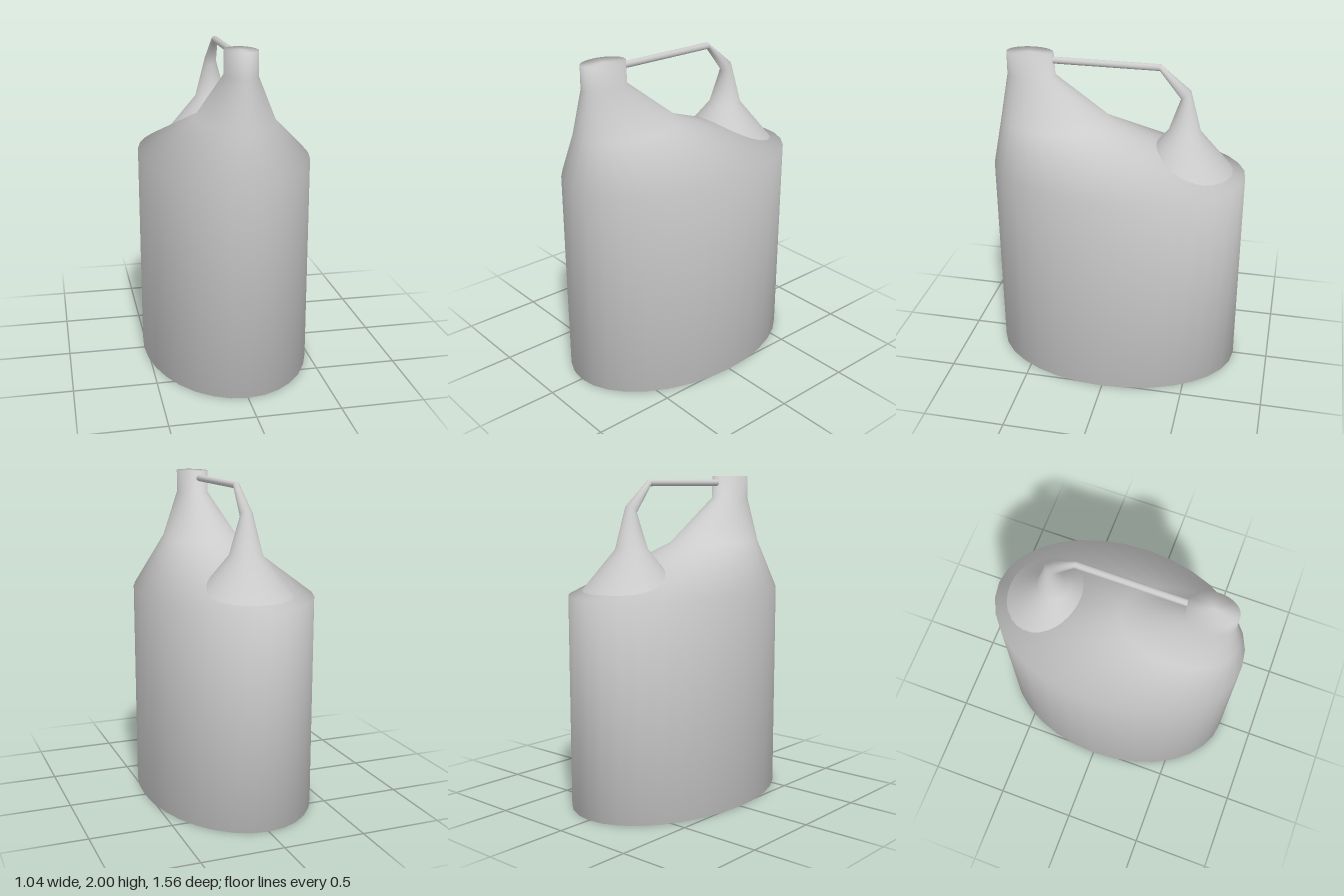
import * as THREE from 'three';

const SEGMENTS = 32;

// Smooth loft through elliptical rings, listed from bottom to top.
// ring = { y, z: centre, rx: half width, rz, dy: half vector towards the front }
function loft(rings, capped) {
  const positions = [];
  const index = [];
  for (const { y, z, rx, rz, dy = 0 } of rings) {
    for (let j = 0; j < SEGMENTS; j++) {
      const a = (j / SEGMENTS) * Math.PI * 2;
      positions.push(rx * Math.cos(a), y + dy * Math.sin(a), z + rz * Math.sin(a));
    }
  }
  for (let i = 0; i < rings.length - 1; i++) {
    for (let j = 0; j < SEGMENTS; j++) {
      const k = (j + 1) % SEGMENTS;
      const a = i * SEGMENTS + j, b = i * SEGMENTS + k;
      const c = a + SEGMENTS, d = b + SEGMENTS;
      index.push(a, c, b, b, c, d);
    }
  }
  if (capped) {
    const top = (rings.length - 1) * SEGMENTS;
    const centre = positions.length / 3;
    const last = rings[rings.length - 1];
    positions.push(0, rings[0].y, rings[0].z, 0, last.y, last.z);
    for (let j = 0; j < SEGMENTS; j++) {
      const k = (j + 1) % SEGMENTS;
      index.push(centre, j, k, centre + 1, top + k, top + j);
    }
  }
  const geometry = new THREE.BufferGeometry();
  geometry.setAttribute('position', new THREE.Float32BufferAttribute(positions, 3));
  geometry.setIndex(index);
  geometry.computeVertexNormals();
  return geometry;
}

export function createModel() {
  const group = new THREE.Group();
  group.name = 'jug';
  const material = new THREE.MeshStandardMaterial({ color: 0xcccccc, side: THREE.DoubleSide });

  const add = (name, geometry) => {
    const mesh = new THREE.Mesh(geometry, material);
    mesh.name = name;
    group.add(mesh);
  };

  // Oval container with shoulders sloping up to an off-centre neck
  add('body', loft([
    { y: 0, z: 0, rx: 0.52, rz: 0.78 },
    { y: 1.3, z: 0, rx: 0.52, rz: 0.78 },
    { y: 1.58, z: 0.375, rx: 0.23, rz: 0.355 },
    { y: 1.86, z: 0.532, rx: 0.095, rz: 0.147 },
    { y: 2, z: 0.535, rx: 0.095, rz: 0.143 },
  ], true));

  // Flared foot narrowing to an elbow, then a thin bar into the neck
  add('handle', loft([
    { y: 1.3, z: -0.405, rx: 0.32, rz: 0.32 },
    { y: 1.57, z: -0.403, rx: 0.098, rz: 0.098 },
    { y: 1.8, z: -0.405, rx: 0.038, rz: 0.029, dy: -0.0255 },
    { y: 1.957, z: -0.248, rx: 0.02, rz: 0, dy: -0.02 },
    { y: 1.957, z: 0.42, rx: 0.02, rz: 0, dy: -0.02 },
  ], false));

  return group;
}
